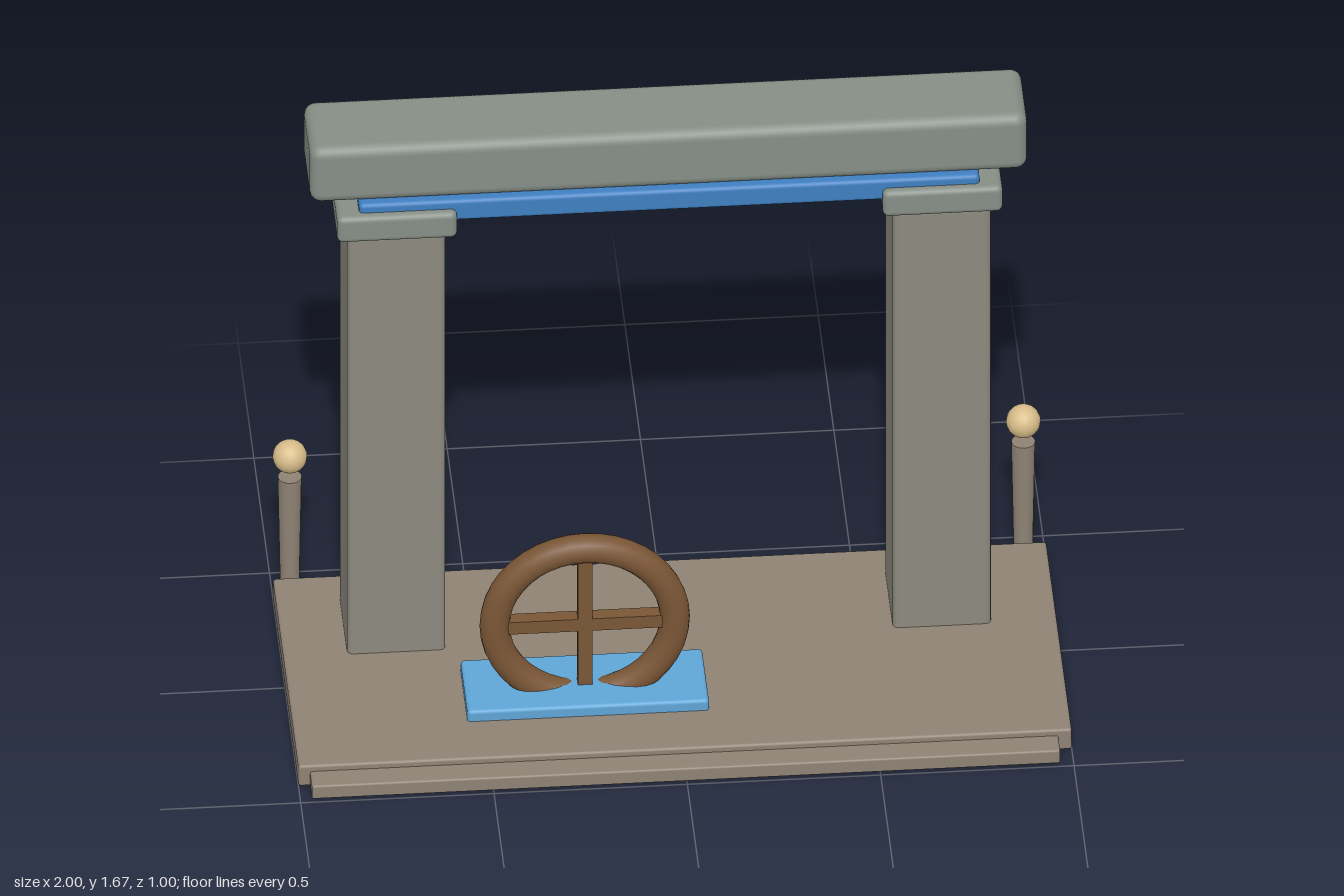
import * as THREE from 'three';
import { RoundedBoxGeometry } from 'three/addons/geometries/RoundedBoxGeometry.js';

const mat = (color) => new THREE.MeshStandardMaterial({ color });

export function createModel() {
  const model = new THREE.Group();
  const stone = mat(0x868e86), pillarStone = mat(0x8c8a7e), paving = mat(0x8e8274);
  const darkBlue = mat(0x3f7fc0), lightBlue = mat(0x5fa5d6);
  const wood = mat(0x7a5636), brass = mat(0xd8bd8a);

  const add = (name, geometry, material, x, y, z, parent = model) => {
    const mesh = new THREE.Mesh(geometry, material);
    mesh.name = name;
    mesh.position.set(x, y, z);
    parent.add(mesh);
    return mesh;
  };

  // Rounded block given by its [min, max] range on each axis
  const block = (name, [x0, x1], [y0, y1], [z0, z1], radius, material) =>
    add(name, new RoundedBoxGeometry(x1 - x0, y1 - y0, z1 - z0, 3, radius), material,
      (x0 + x1) / 2, (y0 + y1) / 2, (z0 + z1) / 2);

  // Floor slab and low front step
  block('floorSlab', [-1, 1], [0, 0.065], [-0.39, 0.43], 0.008, paving);
  block('frontStep', [-0.97, 0.965], [0.005, 0.047], [0.3, 0.495], 0.006, paving);

  // Gate: pillars, capitals, blue band and lintel
  for (const [side, x] of [['right', -0.708], ['left', 0.703]]) {
    block(side + 'Pillar', [x - 0.127, x + 0.127], [0.03, 1.4], [-0.3, -0.045], 0.016, pillarStone);
    block(side + 'Capital', [x - 0.155, x + 0.155], [1.4, 1.48], [-0.328, -0.017], 0.016, stone);
  }
  block('lintelBand', [-0.805, 0.8], [1.44, 1.505], [-0.29, -0.04], 0.012, darkBlue);
  block('lintel', [-0.93, 0.925], [1.5, 1.674], [-0.286, -0.055], 0.03, stone);

  // Wheel standing in its plate
  block('wheelPlate', [-0.55, 0.075], [0.055, 0.097], [0.043, 0.272], 0.01, lightBlue);
  const wheel = new THREE.Group();
  wheel.name = 'wheel';
  wheel.position.set(-0.238, 0.288, 0.16);
  model.add(wheel);
  add('rim', new THREE.TorusGeometry(0.233, 0.039, 16, 40), wood, 0, 0, 0, wheel);
  add('verticalSpoke', new THREE.BoxGeometry(0.038, 0.45, 0.038), wood, 0, 0, 0, wheel);
  add('horizontalSpoke', new THREE.BoxGeometry(0.45, 0.038, 0.038), wood, 0, 0, 0, wheel);

  // Rear posts with floating round knobs
  for (const [side, x] of [['right', -0.951], ['left', 0.946]]) {
    add(side + 'Post', new THREE.CylinderGeometry(0.031, 0.025, 0.335, 16), paving, x, 0.1725, -0.455);
    add(side + 'Knob', new THREE.SphereGeometry(0.045, 16, 12), brass, x, 0.405, -0.455);
  }
  return model;
}
